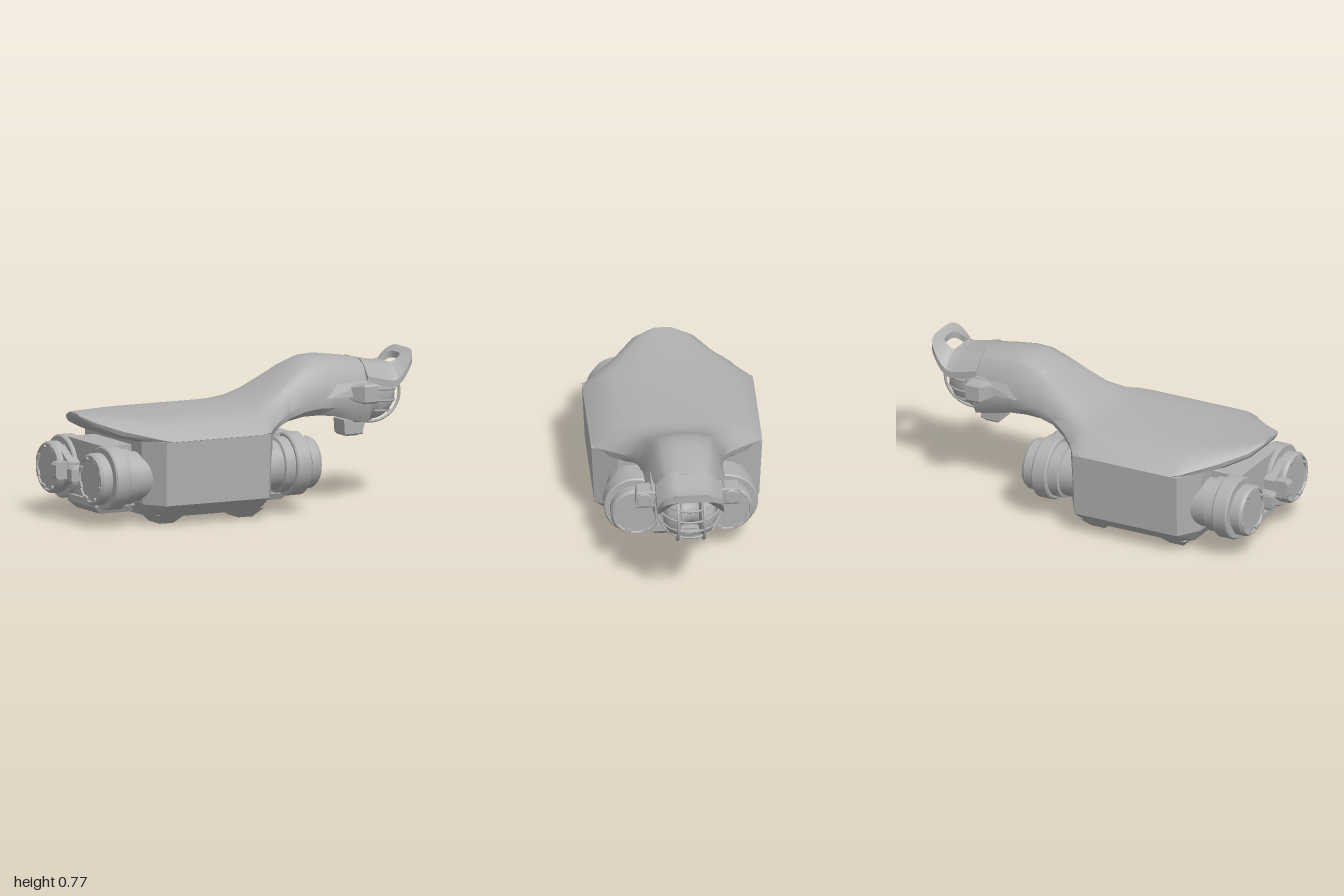
import * as THREE from 'three';
import { toCreasedNormals } from 'three/addons/utils/BufferGeometryUtils.js';
import { ConvexGeometry } from 'three/addons/geometries/ConvexGeometry.js';

const grey = new THREE.MeshStandardMaterial({ color: 0xb0b0b0 });
grey.name = 'plain grey';
const MID = -0.315; // centre of the chassis along x

function add(parent, name, geo, x = 0, y = 0, z = 0) {
  const m = new THREE.Mesh(geo, grey);
  m.name = name;
  m.position.set(x, y, z);
  parent.add(m);
  return m;
}

// Convex solid from rings of corner points
const solid = (pts) => new ConvexGeometry(pts.map((p) => new THREE.Vector3(...p)));
const rect = (y, x0, x1, z0, z1) => [[x0, y, z0], [x1, y, z0], [x1, y, z1], [x0, y, z1]];

// Lathe turned so that its axis is +x; profile is [radius, x] pairs
function latheX(profile, seg = 36) {
  const g = new THREE.LatheGeometry(profile.map(([r, x]) => new THREE.Vector2(r, x)), seg);
  return toCreasedNormals(g.rotateZ(-Math.PI / 2), 0.5);
}

// Upper shell and neck: one symmetric cross-section per station
function shellGeometry() {
  // x, top, shoulder height, bottom, half width, half width of the top
  const stations = [
    [-0.93, 0.565, 0.555, 0.545, 0.06, 0.04], [-0.89, 0.56, 0.53, 0.5, 0.16, 0.1],
    [-0.78, 0.552, 0.49, 0.45, 0.26, 0.18], [-0.63, 0.546, 0.455, 0.42, 0.415, 0.26],
    [-0.58, 0.545, 0.445, 0.42, 0.444, 0.28], [-0.06, 0.545, 0.445, 0.42, 0.444, 0.28],
    [0, 0.552, 0.45, 0.41, 0.425, 0.26], [0.06, 0.57, 0.46, 0.4, 0.345, 0.22],
    [0.13, 0.605, 0.48, 0.43, 0.28, 0.185], [0.22, 0.66, 0.515, 0.46, 0.232, 0.16],
    [0.32, 0.725, 0.55, 0.475, 0.212, 0.135], [0.41, 0.765, 0.575, 0.475, 0.205, 0.125],
    [0.5, 0.77, 0.58, 0.465, 0.2, 0.12], [0.61, 0.755, 0.575, 0.435, 0.19, 0.115],
    [0.72, 0.738, 0.56, 0.41, 0.175, 0.11],
  ];
  const pos = [], idx = [];
  let n = 0;
  for (const [x, top, sh, bot, w, tw] of stations) {
    const d = top - sh, e = w - tw;
    const half = [[0, top], [tw * 0.55, top - d * 0.02], [tw, top - d * 0.12],
      [tw + e * 0.35, top - d * 0.3], [tw + e * 0.7, top - d * 0.6], [w, sh],
      [w * 0.97, sh + (bot - sh) * 0.6], [w * 0.8, bot], [0, bot]];
    const ring = [...half, ...half.slice(1, -1).reverse().map(([z, y]) => [-z, y])];
    n = ring.length;
    ring.forEach(([z, y]) => pos.push(x, y, z));
  }
  const last = stations.length - 1;
  for (let i = 0; i < last; i++) for (let j = 0; j < n; j++) {
    const a = i * n + j, b = i * n + (j + 1) % n;
    idx.push(a, b, a + n, b, b + n, a + n);
  }
  for (let j = 1; j < n - 1; j++) {
    idx.push(0, j + 1, j, last * n, last * n + j, last * n + j + 1);
  }
  const g = new THREE.BufferGeometry();
  g.setAttribute('position', new THREE.Float32BufferAttribute(pos, 3));
  g.setIndex(idx);
  return toCreasedNormals(g, 0.6);
}

// Chassis outline with cut corners at one height
function chassisRing(y, hx, hz, cx, cz) {
  const pts = [];
  for (const sx of [-1, 1]) for (const sz of [-1, 1]) {
    pts.push([MID + sx * (hx - cx), y, sz * hz], [MID + sx * hx, y, sz * (hz - cz)]);
  }
  return pts;
}

// Wheel-like pod and its clamp, pointing along +x
function makePod(side) {
  const pod = new THREE.Group();
  pod.name = 'drivePod';
  const body = add(pod, 'podDrum', latheX([[0, 0.02], [0.13, 0.02], [0.13, 0.11], [0.145, 0.115],
    [0.145, 0.17], [0.157, 0.17], [0.165, 0.178], [0.165, 0.25], [0.158, 0.257], [0.12, 0.257],
    [0.12, 0.27], [0.135, 0.27], [0.135, 0.315], [0.125, 0.33], [0.118, 0.33], [0.114, 0.322], [0, 0.322]]));
  body.position.set(0, 0.25, side * 0.235);
  // Nubs round the end cap
  for (let i = 0; i < 8; i++) {
    const a = (i + 0.5) * Math.PI / 4;
    const nub = add(pod, 'capNub', new THREE.BoxGeometry(0.02, 0.018, 0.03),
      0.323, 0.25 + Math.sin(a) * 0.112, side * 0.235 + Math.cos(a) * 0.112);
    nub.rotation.x = Math.PI / 2 - a;
  }
  const clamp = [];
  for (const x of [0.2, 0.3]) {
    clamp.push([x, 0.13, side * 0.18], [x, 0.215, side * 0.055], [x, 0.295, side * 0.055], [x, 0.37, side * 0.18]);
  }
  add(pod, 'podClamp', solid(clamp));
  add(pod, 'clampLatch', solid([...rect(0.21, 0.28, 0.36, side * 0.06, side * 0.11),
    ...rect(0.225, 0.28, 0.372, side * 0.06, side * 0.115), ...rect(0.285, 0.28, 0.372, side * 0.06, side * 0.115),
    ...rect(0.3, 0.28, 0.36, side * 0.06, side * 0.11)]));
  return pod;
}

// Height of the visor along x, and its fall towards the sides
const visorY = new THREE.SplineCurve([[0.7, 0.722], [0.8, 0.698], [0.87, 0.688], [0.93, 0.715], [0.995, 0.755]]
  .map((p) => new THREE.Vector2(...p)));
function bendVisor(geo, place) {
  const p = geo.attributes.position;
  for (let i = 0; i < p.count; i++) {
    const [x, z] = place(p.getX(i), p.getZ(i));
    let lo = 0, hi = 1;
    for (let k = 0; k < 20; k++) {
      const m = (lo + hi) / 2;
      if (visorY.getPoint(m).x < x) lo = m; else hi = m;
    }
    const fade = 1 - THREE.MathUtils.smoothstep(x, 0.86, 0.99);
    const drop = 0.08 * Math.pow(Math.max(0, Math.abs(z) - 0.08) / 0.09, 1.5) * (0.25 + 0.75 * fade);
    p.setXYZ(i, x, visorY.getPoint(lo).y + p.getY(i) - drop, z);
  }
  return toCreasedNormals(geo, 0.6);
}

function makeHead() {
  const head = new THREE.Group();
  head.name = 'head';
  head.position.set(0.72, 0.56, 0);
  head.rotation.z = -0.1;
  add(head, 'lampBarrel', latheX([[0, -0.04], [0.155, -0.04], [0.167, -0.03], [0.167, 0.035],
    [0.16, 0.04], [0.16, 0.06], [0.145, 0.06], [0.145, 0.01], [0, 0.01]], 40));
  // Spool inside the cage, its axis across the model
  const half = [[0, 0.138], [0.075, 0.132], [0.115, 0.108], [0.135, 0.068], [0.128, 0.055], [0.082, 0.045], [0.068, 0.02]];
  const spool = [...half.map(([r, z]) => [r, -z]), ...half.slice().reverse()];
  const g = new THREE.LatheGeometry(spool.map(([r, z]) => new THREE.Vector2(r, z)), 36).rotateX(Math.PI / 2);
  add(head, 'spool', toCreasedNormals(g, 0.6), 0.055, 0, 0);
  // Cage bars
  for (const s of [-1, 1]) {
    const bar = new THREE.TorusGeometry(0.149, 0.008, 6, 28, Math.PI).rotateZ(-Math.PI / 2).scale(1.12, 1, 1);
    add(head, 'cageUpright', bar, 0.05, 0, s * 0.068);
  }
  for (const y of [-0.085, -0.03, 0.03, 0.085]) {
    const r = Math.sqrt(0.163 ** 2 - y * y);
    const bar = new THREE.TorusGeometry(r, 0.006, 6, 28, Math.PI).rotateZ(-Math.PI / 2).rotateX(Math.PI / 2);
    add(head, 'cageHoop', bar, 0.045, y, 0);
  }
  return head;
}

export function createModel() {
  const model = new THREE.Group();
  model.name = 'utilityCraft';

  add(model, 'upperShell', shellGeometry());
  add(model, 'chassis', solid([...chassisRing(0.04, 0.33, 0.345, 0.05, 0.06),
    ...chassisRing(0.11, 0.375, 0.427, 0.075, 0.12), ...chassisRing(0.445, 0.385, 0.443, 0.08, 0.13)]));

  // Landing feet
  for (const sx of [-1, 1]) for (const sz of [-1, 1]) {
    const x = MID + sx * 0.23;
    add(model, 'foot', solid([...rect(0, x - 0.04, x + 0.04, sz * 0.18, sz * 0.3),
      ...rect(0.05, x - 0.08, x + 0.08, sz * 0.13, sz * 0.355)]));
  }
  add(model, 'bellyPlate', new THREE.BoxGeometry(0.5, 0.02, 0.26), MID, 0.04, 0);
  add(model, 'keel', solid([...rect(0.048, MID - 0.53, MID + 0.53, -0.13, 0.13),
    ...rect(0.085, MID - 0.57, MID + 0.57, -0.15, 0.15), ...rect(0.12, MID - 0.57, MID + 0.57, -0.15, 0.15)]));

  // Both ends carry a bridge plate and a pair of pods
  for (const turn of [0, Math.PI]) {
    const end = new THREE.Group();
    end.name = turn ? 'rearAxle' : 'frontAxle';
    const pods = new THREE.Group();
    pods.name = 'podPair';
    pods.position.x = -MID;
    end.position.x = MID;
    end.rotation.y = turn;
    end.add(pods);
    for (const s of [-1, 1]) pods.add(makePod(s));
    add(pods, 'bridgePlate', new THREE.BoxGeometry(0.22, 0.32, 0.4), 0.125, 0.25, 0);
    model.add(end);
  }

  model.add(makeHead());

  // Visor hood and the open loop ahead of it
  add(model, 'visorHood', bendVisor(new THREE.BoxGeometry(0.18, 0.035, 0.34, 6, 1, 16), (x, z) => [x + 0.79, z]));
  const round = (v, k) => Math.sign(v) * Math.pow(Math.abs(v), k);
  add(model, 'visorLoop', bendVisor(new THREE.BoxGeometry(1, 0.035, 1, 1, 1, 32), (u, v) => {
    const a = v * Math.PI, t = u + 0.5, c = round(Math.cos(a), 0.55), s = round(Math.sin(a), 0.55);
    return [0.872 + c * (0.083 + t * 0.04), s * (0.075 + t * 0.095)];
  }));

  // Side lamps with tapering fairings
  for (const s of [-1, 1]) {
    add(model, 'sideLampHousing', solid([[0.58, 0.55, s * 0.18], [0.58, 0.61, s * 0.18],
      ...rect(0.53, 0.63, 0.705, s * 0.16, s * 0.262), ...rect(0.54, 0.63, 0.71, s * 0.16, s * 0.27),
      ...rect(0.62, 0.63, 0.71, s * 0.16, s * 0.27), ...rect(0.63, 0.63, 0.705, s * 0.16, s * 0.262)]));
    add(model, 'sideLamp', latheX([[0, 0], [0.04, 0], [0.04, 0.008], [0.036, 0.012], [0, 0.012]], 24), 0.705, 0.58, s * 0.226);
    add(model, 'sideFairing', solid([[0.39, 0.575, s * 0.19], [0.45, 0.63, s * 0.18], [0.7, 0.64, s * 0.19],
      [0.7, 0.565, s * 0.205], [0.46, 0.565, s * 0.208], [0.5, 0.6, s * 0.14], [0.7, 0.6, s * 0.14]]));
    add(model, 'chinBolt', latheX([[0, 0], [0.014, 0], [0.014, 0.012], [0.006, 0.012], [0, 0.007]], 12), 0.722, 0.352, s * 0.04);
  }
  add(model, 'chinBracket', solid([...rect(0.335, 0.635, 0.7, -0.05, 0.05), ...rect(0.345, 0.625, 0.725, -0.058, 0.058),
    ...rect(0.42, 0.62, 0.75, -0.058, 0.058)]));
  return model;
}
